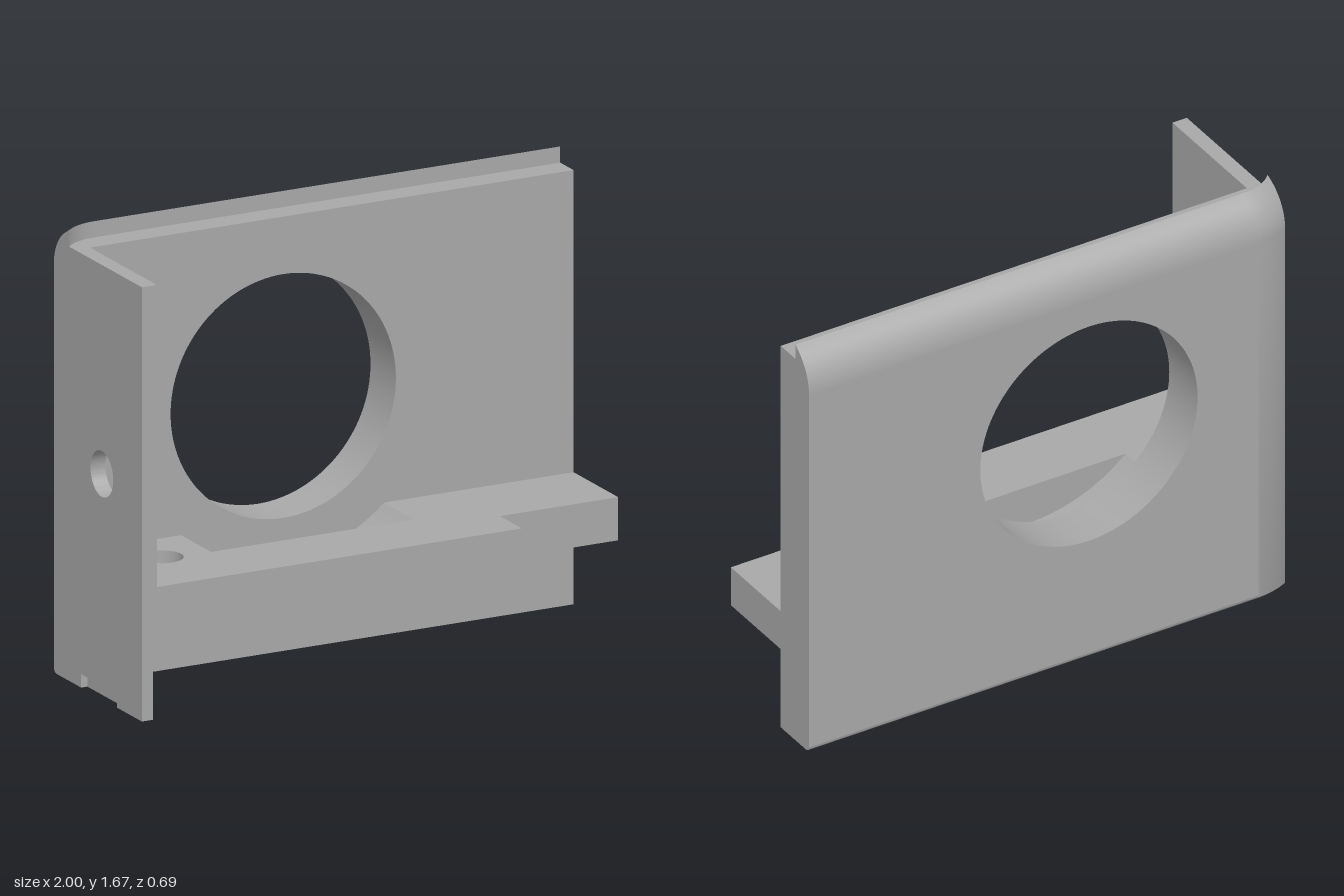
import * as THREE from 'three';
import { toCreasedNormals } from 'three/addons/utils/BufferGeometryUtils.js';

export function createModel() {
  const model = new THREE.Group();
  model.name = 'mountingBracket';
  const grey = new THREE.MeshStandardMaterial({ color: 0xa8a8a8 });
  grey.name = 'grey';

  const add = (name, geometry) => {
    const mesh = new THREE.Mesh(toCreasedNormals(geometry, 0.5), grey);
    mesh.name = name;
    model.add(mesh);
  };
  const box = (name, x0, x1, y0, y1, z0, z1) =>
    add(name, new THREE.BoxGeometry(x1 - x0, y1 - y0, z1 - z0)
      .translate((x0 + x1) / 2, (y0 + y1) / 2, (z0 + z1) / 2));
  const outline = (points) => new THREE.Shape(points.map(([a, b]) => new THREE.Vector2(a, b)));
  const rect = (a0, a1, b0, b1) => outline([[a0, b0], [a1, b0], [a1, b1], [a0, b1]]);
  const drill = (shape, a, b, r) => {
    shape.holes.push(new THREE.Path().absarc(a, b, r, 0, Math.PI * 2, true));
    return shape;
  };
  const extrude = (shape, depth, steps = 1) =>
    new THREE.ExtrudeGeometry(shape, { depth, steps, bevelEnabled: false, curveSegments: 64 });
  // extrude a side profile, drawn as (-z, y), along x
  const alongX = (shape, x0, x1, steps = 1) =>
    extrude(shape, x1 - x0, steps).rotateY(Math.PI / 2).translate(x0, 0, 0);
  const arc = (ca, cb, r, from, to, n) => Array.from({ length: n + 1 }, (_, i) => {
    const t = from + (to - from) * i / n;
    return [ca + r * Math.cos(t), cb + r * Math.sin(t)];
  });

  const back = -0.345, face = -0.155, cornerX = -0.87;

  // back plate with the large round opening
  const plate = drill(rect(cornerX, 1, 0.02, 1.51), -0.165, 0.945, 0.452);
  add('backPlate', extrude(plate, face - back).translate(0, 0, back));

  // rounded top edge with its thin lip, and softened bottom edge
  const topCurve = arc(0.161, 1.51, 0.184, 0, Math.PI / 3, 12);
  const topEnd = [[0.255, 1.67], [0.255, 1.61], [0.155, 1.61]];
  const bottomCurve = arc(0.325, 0.02, 0.02, -Math.PI / 2, 0, 5);
  add('topEdge', alongX(outline([[0.155, 1.51], ...topCurve, ...topEnd]), cornerX, 1));
  add('bottomEdge', alongX(outline([[0.155, 0], ...bottomCurve, [0.155, 0.02]]), cornerX, 1));

  // corner strip whose back curves forward towards the side wall
  const corner = alongX(outline([[0.155, 0], ...bottomCurve, ...topCurve, ...topEnd]), -1, cornerX, 8);
  const p = corner.attributes.position;
  for (let i = 0; i < p.count; i++) {
    const z = p.getZ(i);
    if (z > -0.2) continue;
    const r = 0.3 - (z - back) * 1.3, d = cornerX - p.getX(i);
    p.setZ(i, z + r - Math.sqrt(r * r - d * d));
  }
  add('roundedCorner', corner);

  // side wall with a screw hole, thinner below the shelf and notched at the foot
  add('sideWall', alongX(drill(rect(-0.345, 0.155, 0.27, 1.61), -0.045, 0.835, 0.085), -1, -0.94));
  box('lowerSideWall', -1, -0.955, 0.05, 0.27, face, 0.345);
  box('wallFootBack', -1, -0.955, 0, 0.05, face, -0.11);
  box('wallFootFront', -1, -0.955, 0, 0.05, 0.16, 0.345);
  box('wallFootNotch', -0.975, -0.955, 0, 0.05, -0.11, 0.16);

  // shelf end with a vertical screw hole
  const shelfEnd = drill(rect(-0.95, -0.575, -0.345, 0.155), -0.755, -0.04, 0.076);
  add('shelfEnd', extrude(shelfEnd, 0.22).rotateX(-Math.PI / 2).translate(0, 0.27, 0));

  // rear of the shelf, scooped out below the opening
  const half = Math.asin(0.4075 / 0.616);
  const scoop = arc(-0.1675, 0.952, 0.616, -Math.PI / 2 + half, -Math.PI / 2 - half, 32);
  const rear = outline([[-0.575, 0.27], [0.8, 0.27], [0.8, 0.33], [1, 0.33], [1, 0.49], ...scoop]);
  add('shelfRear', extrude(rear, 0.07 - face).translate(0, 0, face));

  // stepped front of the shelf
  box('shelfFront', -0.575, 0.525, 0.27, 0.49, 0.07, 0.345);
  box('shelfStep', 0.525, 0.8, 0.27, 0.49, 0.07, 0.18);
  box('shelfTip', 0.8, 1, 0.33, 0.49, 0.07, 0.18);

  return model;
}
